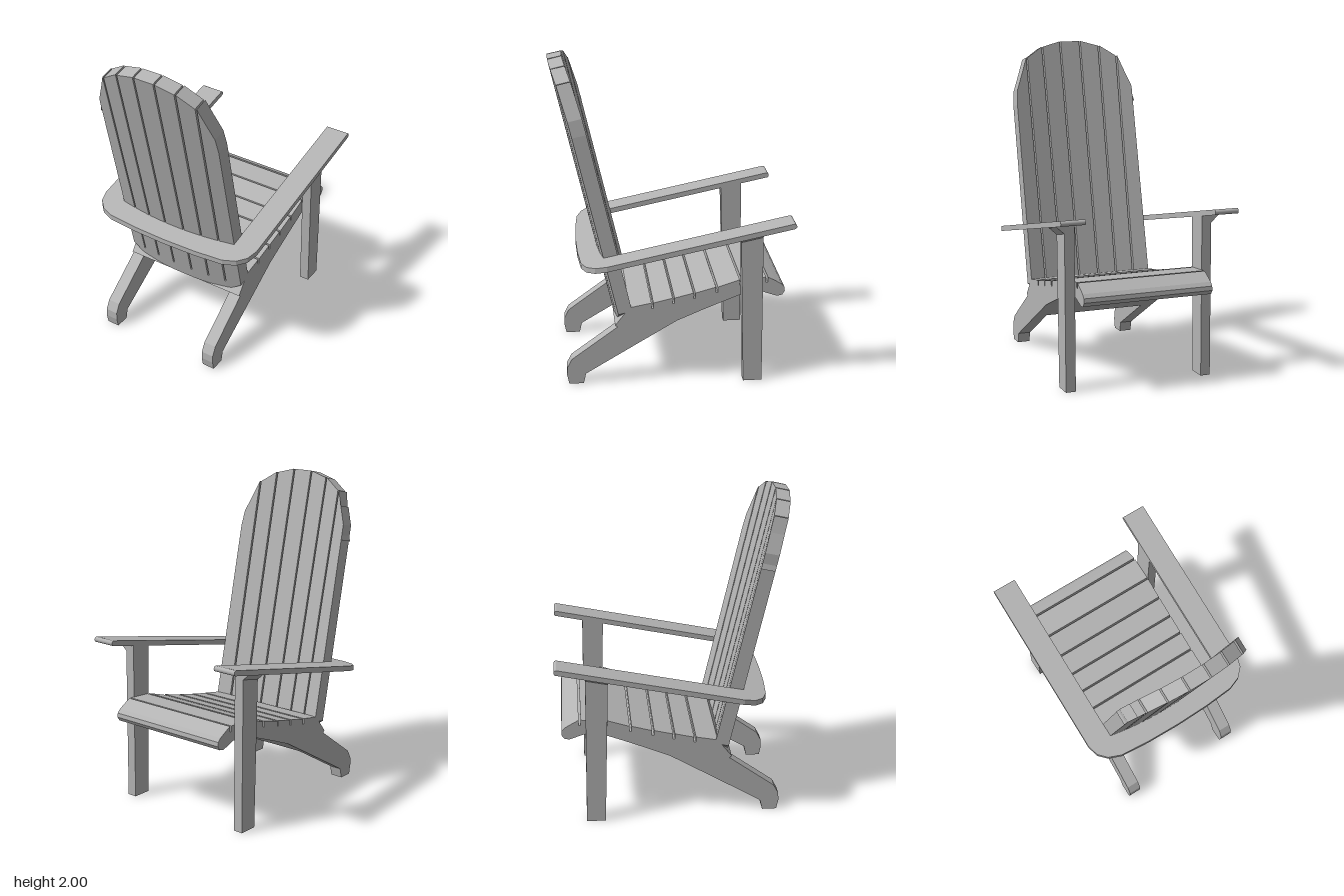
import * as THREE from 'three';

const wood = new THREE.MeshStandardMaterial({ color: 0xb4b4b4 });
wood.name = 'grey wood';

const SLOPE = 0.207; // rise of the armrests toward the seat front
const LEAN = 0.226;  // lean of the backrest

function extrude(points, depth) {
  const shape = new THREE.Shape(points.map(([a, b]) => new THREE.Vector2(a, b)));
  return new THREE.ExtrudeGeometry(shape, { depth, bevelEnabled: false });
}

// Side profile given as [z, y], extruded from x0 to x1
function sideProfile(points, x0, x1) {
  return extrude(points.map(([z, y]) => [-z, y]), x1 - x0).rotateY(Math.PI / 2).translate(x0, 0, 0);
}

// Move every vertex by a rule, keeping flat faces
function warp(geometry, rule) {
  const p = geometry.attributes.position;
  const v = new THREE.Vector3();
  for (let i = 0; i < p.count; i++) {
    rule(v.fromBufferAttribute(p, i));
    p.setXYZ(i, v.x, v.y, v.z);
  }
  geometry.computeVertexNormals();
  return geometry;
}

export function createModel() {
  const chair = new THREE.Group();
  chair.name = 'slattedGardenChair';
  const add = (name, geometry, parent = chair) => {
    const mesh = new THREE.Mesh(geometry, wood);
    mesh.name = name;
    parent.add(mesh);
    return mesh;
  };

  // Seat: solid block with thin grooves between its boards
  const grooves = [[0.13, 0.525], [0, 0.552], [-0.128, 0.58], [-0.266, 0.614], [-0.412, 0.657], [-0.575, 0.668]];
  const seat = [[0.36, 0.385], [0.27, 0.5]];
  for (const [z, y] of grooves) {
    seat.push([z + 0.006, y], [z + 0.006, y - 0.035], [z - 0.006, y - 0.035], [z - 0.006, y]);
  }
  seat.push([-0.628, 0.642], [-0.665, 0.62], [-0.685, 0.598], [-0.688, 0.572], [-0.672, 0.547], [-0.64, 0.54],
    [-0.55, 0.572], [-0.405, 0.555], [-0.3, 0.515], [-0.17, 0.463], [-0.02, 0.4], [0.2, 0.27]);
  add('seat', sideProfile(seat, -0.41, 0.41));

  const rearLeg = [[0.1, 0.4], [0.2, 0.27], [0.545, 0.065], [0.56, 0], [0.65, 0], [0.662, 0.06], [0.66, 0.11], [0.63, 0.167], [0.33, 0.385]];
  const post = [[-0.43, 0], [-0.4, 0.975], [-0.535, 1.0], [-0.547, 0]];
  for (const s of [1, -1]) {
    const side = s > 0 ? 'left' : 'right';
    const span = (a, b) => (s > 0 ? [a, b] : [-b, -a]);
    add(side + 'RearLeg', sideProfile(rearLeg, ...span(0.33, 0.41)));
    add(side + 'FrontLeg', sideProfile(post, ...span(0.41, 0.472)));

    // Angled support under the armrest
    const bracket = extrude([[0.46, 0.92], [0.472, 0.925], [0.52, 0.968], [0.52, 0.985], [0.46, 0.985]].map(([x, y]) => [s * x, y]), 0.135);
    bracket.translate(0, 0, -0.535);
    add(side + 'ArmBracket', warp(bracket, (v) => { v.y -= (v.z + 0.4) * SLOPE; }));

    // Rounded armrest tip
    const tip = new THREE.CylinderGeometry(0.0165, 0.0165, 0.152, 16).rotateZ(Math.PI / 2);
    tip.translate(s * 0.484, 0.80 + SLOPE * 1.283 - 0.0165, -0.703);
    add(side + 'ArmTip', tip);
  }

  // Armrests: one sloping U-shaped plate, in [x, z], running behind the backrest
  const half = [[0.408, -0.703], [0.56, -0.703], [0.56, 0.41], [0.54, 0.48], [0.49, 0.53], [0.41, 0.56], [0.22, 0.575]];
  const inner = [[0, 0.41], [0.2, 0.4], [0.408, 0.37]];
  const mirror = (list) => list.map(([x, z]) => [-x, z]).reverse();
  const outline = [...half, [0, 0.58], ...mirror(half), ...mirror(inner), ...inner.slice(1)];
  const arms = extrude(outline, 0.033).rotateX(Math.PI / 2);
  add('armrests', warp(arms, (v) => { v.y += 0.80 + SLOPE * (0.58 - v.z); }));

  // Backrest: seven slats set on a shallow arc, joined at the bottom
  const back = new THREE.Group();
  back.name = 'backrest';
  chair.add(back);
  const low = [-0.41, -0.307, -0.19, -0.067, 0.067, 0.19, 0.307, 0.41];
  const high = [-0.41, -0.315, -0.198, -0.069, 0.069, 0.198, 0.315, 0.41];
  const crown = [1.605, 1.9, 1.967, 1.998, 1.998, 1.967, 1.9, 1.605];
  const arc = (x) => -0.04 * (x / 0.41) ** 2;
  const T = 0.085;
  for (let i = 0; i < 7; i++) {
    const bend = (v) => {
      const t = (v.x - low[i]) / (low[i + 1] - low[i]);
      const d = v.z;
      v.z = 0.30 + d + LEAN * (v.y - 0.5) + THREE.MathUtils.lerp(arc(low[i]), arc(low[i + 1]), t);
      v.y -= d * LEAN;
    };
    const g0 = i === 0 ? 0 : 0.005;
    const g1 = i === 6 ? 0 : 0.005;
    const slat = [[low[i] + g0, 0.475], [low[i + 1] - g1, 0.475], [high[i + 1] - g1, crown[i + 1]]];
    if (i === 6) slat.push([0.4, 1.7], [0.355, 1.81]);
    slat.push([high[i] + g0, crown[i]]);
    if (i === 0) slat.push([-0.355, 1.81], [-0.4, 1.7]);
    add('backSlat' + (i + 1), warp(extrude(slat, T), bend), back);

    // Joined lower end, with the outer corners cut off
    const y0 = i === 0 ? 0.475 : 0.405;
    const y1 = i === 6 ? 0.475 : 0.405;
    const foot = [[low[i], y0], [low[i + 1], y1], [low[i + 1], 0.478], [low[i], 0.478]];
    add('backFoot' + (i + 1), warp(extrude(foot, T), bend), back);
  }
  return chair;
}
